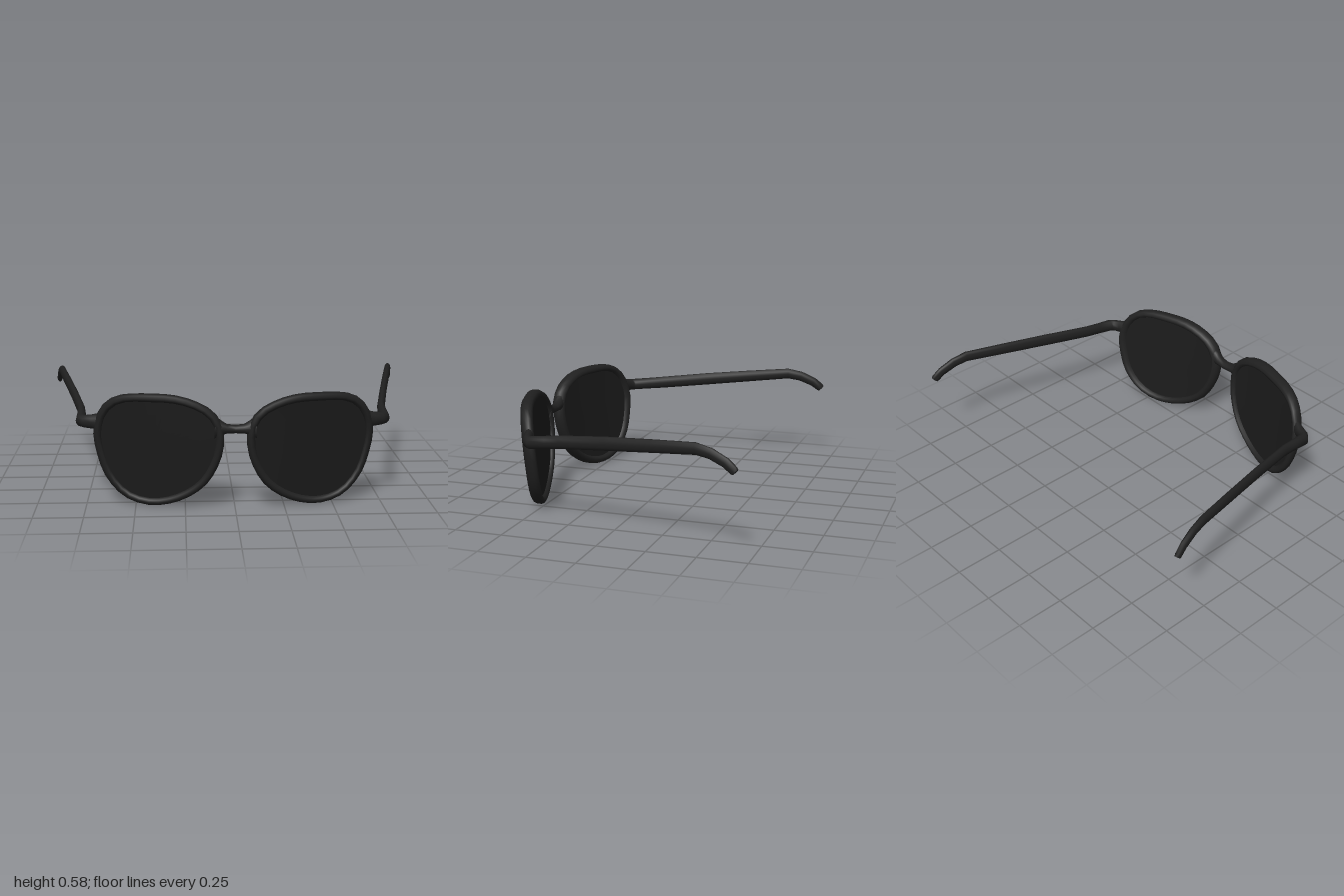
import * as THREE from 'three';
import { toCreasedNormals, mergeVertices } from 'three/addons/utils/BufferGeometryUtils.js';

const V = (x, y, z) => new THREE.Vector3(x, y, z);

// Skin a list of equal-length closed loops; ring = join last loop to the first.
function loft(loops, { ring = false, caps = false, crease = 0.9 } = {}) {
  const n = loops[0].length, pts = loops.flat(), tris = [];
  const m = ring ? loops.length : loops.length - 1;
  for (let i = 0; i < m; i++) {
    const a = i * n, b = ((i + 1) % loops.length) * n;
    for (let j = 0; j < n; j++) {
      const k = (j + 1) % n;
      tris.push([a + j, b + j, b + k], [a + j, b + k, a + k]);
    }
  }
  if (caps) {
    const e = (loops.length - 1) * n;
    for (let j = 1; j < n - 1; j++) tris.push([0, j, j + 1], [e, e + j + 1, e + j]);
  }
  // Turn the faces outward, whichever side is being built
  let volume = 0;
  const cross = V(0, 0, 0);
  for (const [a, b, c] of tris) volume += pts[a].dot(cross.crossVectors(pts[b], pts[c]));
  if (volume < 0) tris.forEach((t) => t.reverse());
  const geo = new THREE.BufferGeometry();
  geo.setAttribute('position', new THREE.Float32BufferAttribute(pts.flatMap((p) => p.toArray()), 3));
  geo.setIndex(tris.flat());
  return toCreasedNormals(mergeVertices(geo), crease);
}

// Oval bar along a path; each row is x, y, z, half width, half height.
function bar(rows, sides = 12) {
  const p = rows.map((r) => V(r[0], r[1], r[2]));
  const loops = rows.map((r, i) => {
    const t = p[Math.min(i + 1, p.length - 1)].clone().sub(p[Math.max(i - 1, 0)]).normalize();
    const side = V(0, 1, 0).cross(t).normalize();
    const up = t.clone().cross(side);
    return Array.from({ length: sides }, (_, j) => {
      const a = (j / sides) * Math.PI * 2;
      return p[i].clone().addScaledVector(side, Math.cos(a) * r[3]).addScaledVector(up, Math.sin(a) * r[4]);
    });
  });
  return loft(loops, { caps: true });
}

// Outer edge of one rim, x and y, rounded by a closed curve
const EDGE = [
  [0.40, 0.585], [0.29, 0.58], [0.19, 0.552], [0.112, 0.507], [0.066, 0.44], [0.057, 0.345],
  [0.08, 0.24], [0.15, 0.12], [0.28, 0.032], [0.43, 0.0], [0.56, 0.036],
  [0.652, 0.135], [0.694, 0.25], [0.711, 0.37], [0.684, 0.475], [0.635, 0.537], [0.565, 0.571],
];
const OUTLINE = new THREE.CatmullRomCurve3(EDGE.map(([x, y]) => V(x, y, 0)), true)
  .getSpacedPoints(36).slice(0, 36);
const CENTRE = V(0.39, 0.31, 0);

// Wrapped and slightly tilted face of the glasses
const faceZ = (x, y) => 0.658 - 0.2125 * (x - 0.08) - 0.215 * (x - 0.08) * (x - 0.4) + 0.09 * (y - 0.45);

// Rim cross-section: inset from the outer edge, depth
const RIM = [
  [0, 0.010], [0.007, 0.026], [0.020, 0.035], [0.032, 0.031], [0.040, 0.016],
  [0.042, 0], [0.042, -0.016], [0.034, -0.031], [0.020, -0.035], [0.007, -0.026], [0, -0.010],
];

// Point on the face, moved inward from an outline point and off the face by depth
function inset(edge, d, depth, side, scale = 1) {
  const len = edge.distanceTo(CENTRE);
  const p = CENTRE.clone().lerp(edge, (1 - d / len) * scale);
  return V(p.x * side, p.y, faceZ(p.x, p.y) + depth);
}

// Corner piece and arm, front to tip
const ARM = [
  [0.685, 0.421, 0.484, 0.024, 0.044], [0.715, 0.420, 0.474, 0.024, 0.037],
  [0.752, 0.418, 0.460, 0.026, 0.033], [0.772, 0.418, 0.437, 0.030, 0.033],
  [0.778, 0.428, 0.35, 0.023, 0.033], [0.785, 0.437, 0.27, 0.020, 0.034],
  [0.842, 0.465, 0.0, 0.019, 0.035], [0.898, 0.488, -0.25, 0.019, 0.033],
  [0.950, 0.508, -0.48, 0.018, 0.030], [0.964, 0.494, -0.555, 0.017, 0.028],
  [0.978, 0.461, -0.63, 0.016, 0.026], [0.986, 0.430, -0.670, 0.015, 0.024],
  [0.988, 0.422, -0.678, 0.013, 0.020],
];

// Bridge, flaring into both rims
const BRIDGE_HALF = [
  [0.045, 0.416, 0.650, 0.028, 0.025], [0.075, 0.420, 0.655, 0.031, 0.040],
  [0.10, 0.422, 0.652, 0.031, 0.058],
];
const BRIDGE = [
  ...BRIDGE_HALF.map(([x, ...r]) => [-x, ...r]).reverse(),
  [0, 0.414, 0.646, 0.028, 0.021],
  ...BRIDGE_HALF,
];

export function createModel() {
  const model = new THREE.Group();
  model.name = 'sunglasses';
  const frame = new THREE.MeshStandardMaterial({ name: 'black frame', color: 0x202020 });
  const glass = new THREE.MeshStandardMaterial({ name: 'dark lens', color: 0x1b1b1b });
  const add = (name, geo, mat) => {
    const mesh = new THREE.Mesh(geo, mat);
    mesh.name = name;
    model.add(mesh);
  };

  for (const [label, side] of [['left', 1], ['right', -1]]) {
    // Rim
    add(label + 'Rim', loft(
      OUTLINE.map((p) => RIM.map(([d, z]) => inset(p, d, z, side))), { ring: true, crease: 1.1 }), frame);
    // Lens: front and back sheets joined inside the rim
    const rings = [[0, 1], [0.35, 1], [0.7, 1], [1, 1], [1, -1], [0.7, -1], [0.35, -1], [0, -1]];
    add(label + 'Lens', loft(
      rings.map(([s, f]) => OUTLINE.map((p) => inset(p, 0.033, f * 0.015, side, s)))), glass);
    // Arm
    add(label + 'Arm', bar(ARM.map(([x, ...r]) => [x * side, ...r])), frame);
  }
  add('bridge', bar(BRIDGE), frame);
  return model;
}
